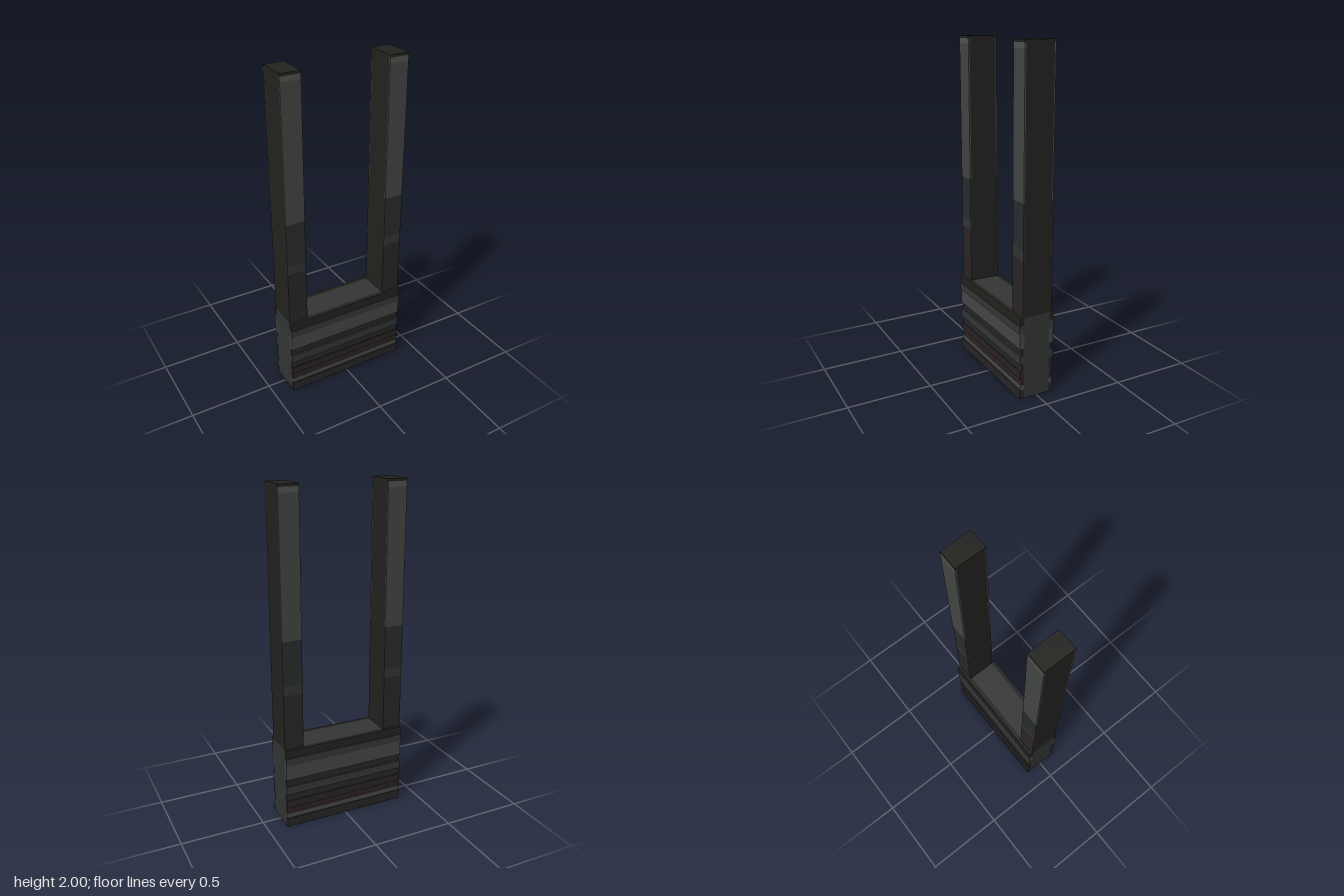
import * as THREE from 'three';

const materials = {};
function material(color) {
  return (materials[color] ??= new THREE.MeshStandardMaterial({ color }));
}

// Box given by its lower and upper limits on each axis
function block(name, color, [x0, x1], [y0, y1], [z0, z1]) {
  const mesh = new THREE.Mesh(new THREE.BoxGeometry(x1 - x0, y1 - y0, z1 - z0), material(color));
  mesh.position.set((x0 + x1) / 2, (y0 + y1) / 2, (z0 + z1) / 2);
  mesh.name = name;
  return mesh;
}

const DARK = 0x22231f;
const HALF_WIDTH = 0.383;
const CORE_DEPTH = 0.082;

// Base ribs: bottom, top, reach in z, colour
const RIBS = [
  [0, 0.055, 0.11, 0x272526],
  [0.055, 0.085, 0.103, 0x484a47],
  [0.085, 0.125, 0.098, 0x2d2222],
  [0.125, 0.17, 0.107, 0x292425],
  [0.17, 0.215, 0.1, 0x252727],
  [0.215, 0.265, 0.11, 0x343636],
  [0.265, 0.31, 0.1, 0x242626],
  [0.31, 0.405, 0.109, 0x444644],
  [0.405, 0.45, 0.114, 0x353736],
  [0.45, 0.5, 0.108, DARK],
];

// Post facing bands: bottom, top, colour
const BANDS = [
  [0.5, 0.835, 0x2a2526],
  [0.835, 0.895, 0x323434],
  [0.895, 1.155, 0x292c2c],
  [1.155, 1.955, 0x434543],
  [1.955, 1.985, 0x515350],
  [1.985, 2, DARK],
];

export function createModel() {
  const model = new THREE.Group();
  model.name = 'bracket';

  // Base: plain core with stepped ribs on front and back
  const base = new THREE.Group();
  base.name = 'base';
  const width = [-HALF_WIDTH, HALF_WIDTH];
  base.add(block('baseCore', 0x333535, width, [0, 0.5], [-CORE_DEPTH, CORE_DEPTH]));
  for (const [y0, y1, reach, color] of RIBS) {
    base.add(block('frontRib', color, width, [y0, y1], [CORE_DEPTH, reach]));
    base.add(block('backRib', color, width, [y0, y1], [-reach, -CORE_DEPTH]));
  }
  model.add(base);

  // Two tall posts, faced front and back with coloured bands
  for (const side of [1, -1]) {
    const post = new THREE.Group();
    post.name = side > 0 ? 'leftPost' : 'rightPost';
    const span = side > 0 ? [0.265, HALF_WIDTH] : [-HALF_WIDTH, -0.265];
    post.add(block('postCore', DARK, span, [0.5, 2], [-0.084, 0.084]));
    for (const [y0, y1, color] of BANDS) {
      post.add(block('frontBand', color, span, [y0, y1], [0.084, 0.092]));
      post.add(block('backBand', color, span, [y0, y1], [-0.092, -0.084]));
    }
    model.add(post);
  }
  return model;
}
